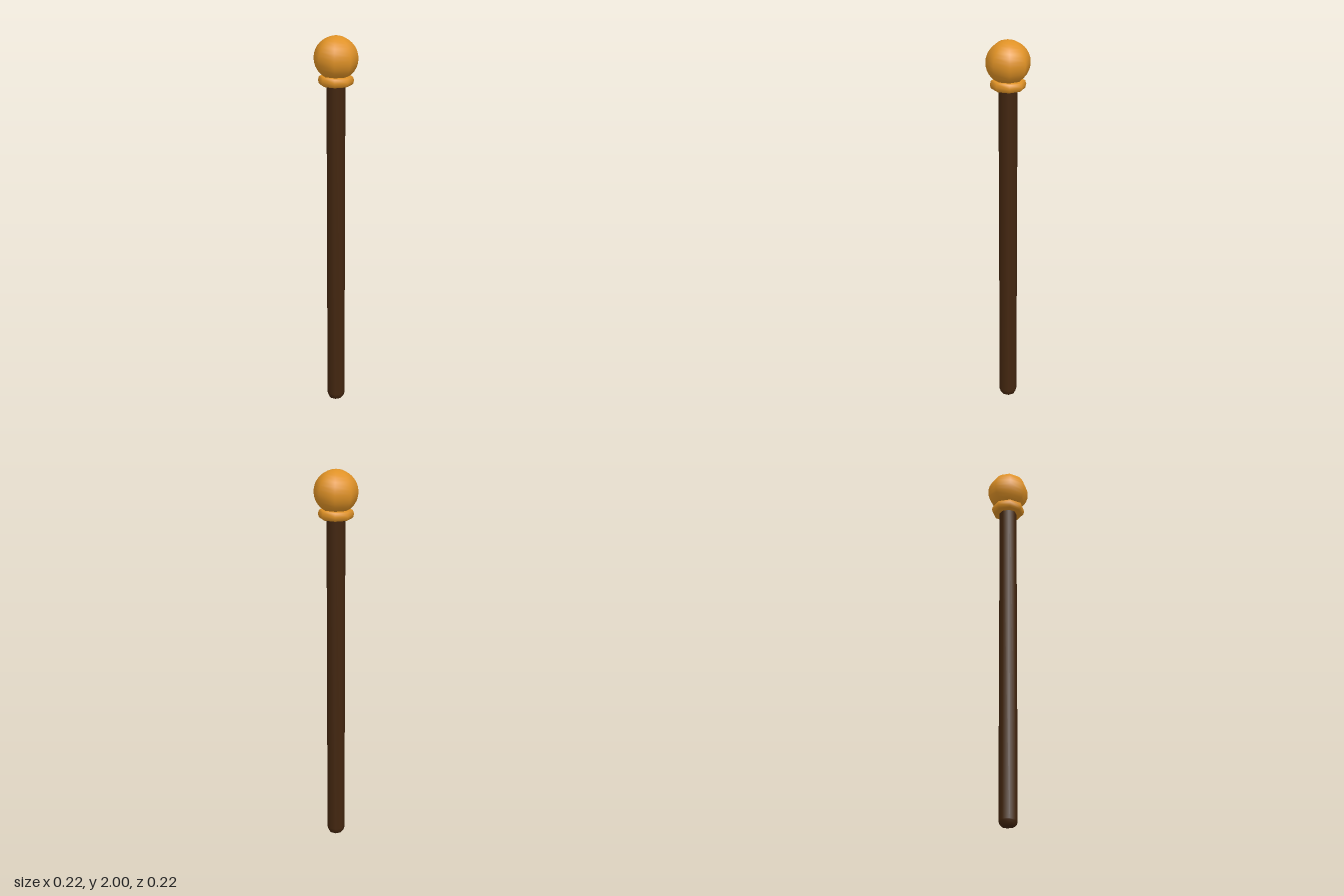
import * as THREE from 'three';

const SIDES = 8;

export function createModel() {
  const group = new THREE.Group();
  const wood = new THREE.MeshStandardMaterial({ color: 0x43260f });
  wood.name = 'dark wood';
  const gold = new THREE.MeshStandardMaterial({ color: 0xe09226 });
  gold.name = 'gold';

  // Eight-sided turned part from [radius, height] points, bottom to top
  const turned = (name, points, material) => {
    const profile = points.map(([r, y]) => new THREE.Vector2(r, y));
    const mesh = new THREE.Mesh(new THREE.LatheGeometry(profile, SIDES), material);
    mesh.name = name;
    group.add(mesh);
  };

  // Pole with a bevelled foot
  turned('pole', [[0, 0], [0.034, 0], [0.034, 0], [0.042, 0.008], [0.047, 0.025],
    [0.047, 0.03], [0.047, 1.78]], wood);

  // Rounded collar under the ball
  turned('collar', [[0.04, 1.755], [0.076, 1.755], [0.085, 1.761], [0.09, 1.779],
    [0.085, 1.797], [0.076, 1.803], [0.05, 1.803]], gold);

  // Ball finial, smooth from pole to pole
  const radius = 0.111;
  const ball = [];
  for (let i = 0; i <= 16; i++) {
    const a = (i / 16) * Math.PI;
    ball.push([radius * Math.sin(a), 2 - radius - radius * Math.cos(a)]);
  }
  turned('ballFinial', ball, gold);

  return group;
}
